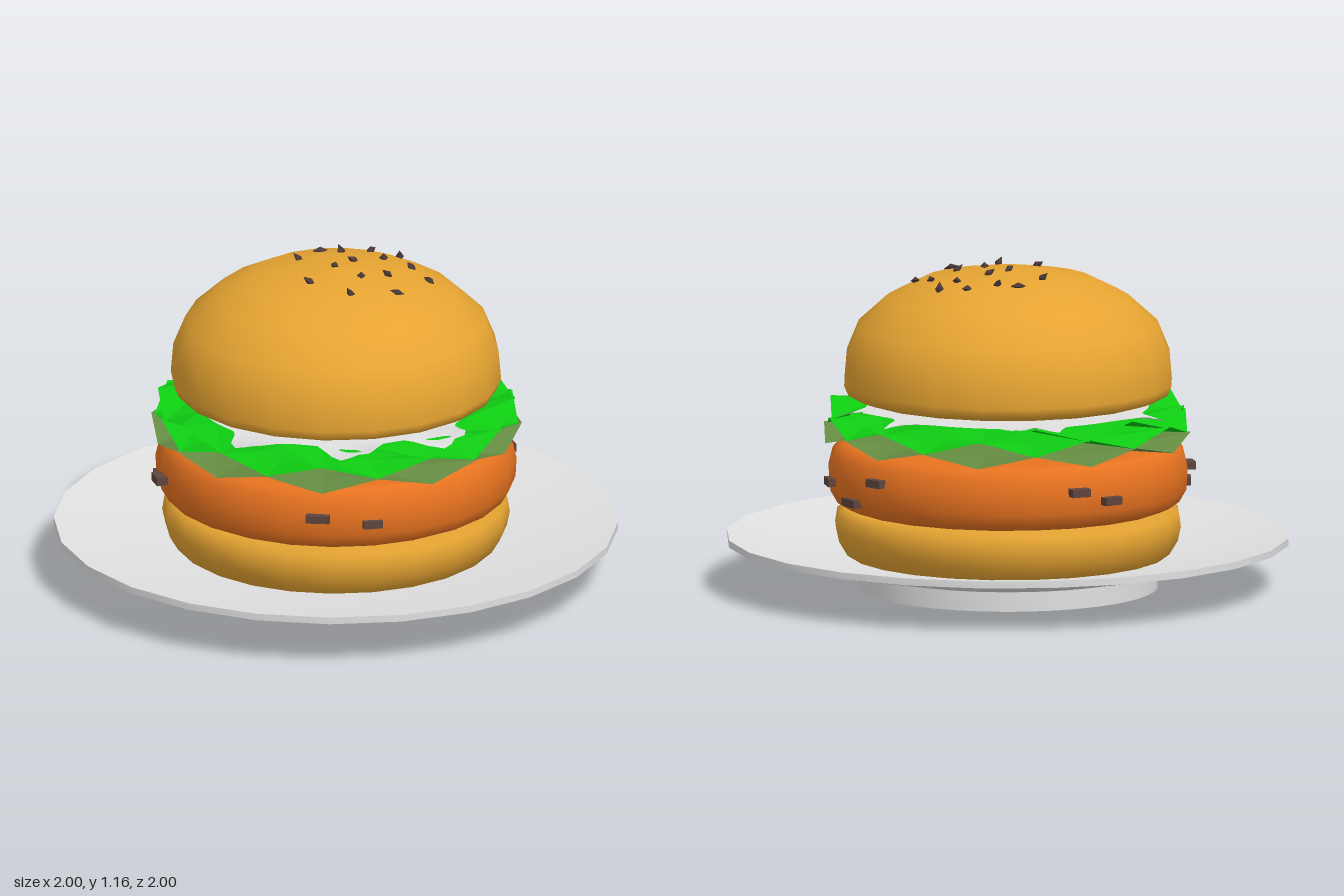
import * as THREE from 'three';
import { toCreasedNormals } from 'three/addons/utils/BufferGeometryUtils.js';

const mat = (name, color, side = THREE.FrontSide) =>
  new THREE.MeshStandardMaterial({ name, color, side });

// Closed turned shape from [radius, height] pairs, listed from the bottom up
function turned(name, points, sides, material, crease) {
  let geo = new THREE.LatheGeometry(points.map(([r, y]) => new THREE.Vector2(r, y)), sides);
  if (crease) geo = toCreasedNormals(geo, crease);
  const mesh = new THREE.Mesh(geo, material);
  mesh.name = name;
  return mesh;
}

// Thin disc made of rings; ring(i, angle) gives [radius, height]
function sheet(name, sides, rings, centreY, ring, material) {
  const pos = [0, centreY, 0], index = [];
  for (let i = 0; i < rings; i++) {
    for (let j = 0; j < sides; j++) {
      const a = (j / sides) * Math.PI * 2;
      const [r, y] = ring(i, a, j);
      pos.push(Math.cos(a) * r, y, Math.sin(a) * r);
    }
  }
  for (let j = 0; j < sides; j++) {
    const k = (j + 1) % sides;
    index.push(0, 1 + k, 1 + j);
    for (let i = 1; i < rings; i++) {
      const p = 1 + (i - 1) * sides, q = p + sides;
      index.push(p + j, p + k, q + j, p + k, q + k, q + j);
    }
  }
  let geo = new THREE.BufferGeometry();
  geo.setAttribute('position', new THREE.Float32BufferAttribute(pos, 3));
  geo.setIndex(index);
  geo = geo.toNonIndexed();
  geo.computeVertexNormals();
  const mesh = new THREE.Mesh(geo, material);
  mesh.name = name;
  return mesh;
}

// Triangle wave from -1 to 1, one zigzag per two leaf segments
const LEAF_SIDES = 20;
function zigzag(angle, shift) {
  const t = ((angle / (Math.PI * 2)) * LEAF_SIDES + shift) % 2;
  return 1 - 2 * Math.abs(t - 1);
}

export function createModel() {
  const model = new THREE.Group();
  model.name = 'burgerOnPlate';

  const china = mat('plate white', 0xe0e0e0);
  const bread = mat('bun gold', 0xe6a432);
  const meat = mat('patty orange', 0xe87320);
  const leaf = mat('lettuce green', 0x0fcc12, THREE.DoubleSide);
  const leafOlive = mat('lettuce olive', 0x658c42, THREE.DoubleSide);
  const sauceWhite = mat('sauce white', 0xe0e0e0, THREE.DoubleSide);
  const crumb = mat('crumb brown', 0x5e443c);
  const seedBrown = mat('seed brown', 0x4a3836);

  // Plate with a shallow dish and a hollow foot ring
  model.add(turned('plate',
    [[0, 0.07], [0.53, 0.07], [1, 0.165], [1, 0.19], [0.54, 0.115], [0, 0.115]], 24, china, 0.5));
  model.add(turned('plateFoot',
    [[0.522, 0.07], [0.522, 0], [0.53, 0], [0.53, 0.07]], 48, china, 0.5));

  // Bottom bun, patty and domed top bun
  model.add(turned('bottomBun', [[0, 0.085], [0.52, 0.09], [0.575, 0.125], [0.605, 0.175],
    [0.616, 0.225], [0.608, 0.275], [0.575, 0.298], [0, 0.3]], 24, bread));
  model.add(turned('patty', [[0, 0.295], [0.57, 0.297], [0.61, 0.315], [0.636, 0.36],
    [0.64, 0.43], [0.625, 0.49], [0.6, 0.52], [0.57, 0.53], [0, 0.53]], 24, meat));
  const dome = [[0, 0.68], [0.53, 0.685], [0.572, 0.7], [0.587, 0.735], [0.578, 0.84],
    [0.535, 0.945], [0.43, 1.04], [0.3, 1.105], [0.15, 1.132], [0, 1.14]];
  model.add(turned('topBun', dome, 20, bread));

  // Crumbs stuck in the side of the patty: [x, y, z]
  const crumbs = new THREE.Group();
  crumbs.name = 'pattyCrumbs';
  const spots = [[-0.21, 0.43, 0.6], [-0.02, 0.405, 0.63], [0.635, 0.4, -0.04], [0.59, 0.355, -0.23],
    [0.525, 0.445, -0.36], [-0.65, 0.415, 0.04], [-0.62, 0.38, -0.08], [-0.28, 0.4, -0.58],
    [-0.16, 0.44, -0.63]];
  spots.forEach(([x, y, z], i) => {
    const box = new THREE.Mesh(new THREE.BoxGeometry(i % 3 ? 0.07 : 0.085, 0.028, 0.045), crumb);
    box.name = 'crumb';
    box.position.set(x, y, z);
    box.rotation.y = Math.atan2(x, z);
    crumbs.add(box);
  });
  model.add(crumbs);

  // Three crumpled lettuce leaves, flat inside and wavy at the rim
  const leaves = [
    ['lowerLettuce', 0.553, 0.022, 0.655, 0, leafOlive],
    ['middleLettuce', 0.598, 0.026, 0.642, 1, leaf],
    ['upperLettuce', 0.643, 0.026, 0.632, 0, leaf],
  ];
  for (const [name, y, wave, radius, shift, material] of leaves) {
    model.add(sheet(name, LEAF_SIDES, 2, y, (i, a, j) => (i === 0
      ? [0.5, y]
      : [radius + 0.007 * Math.sin(j * 2.3), y + zigzag(a, shift) * wave]), material));
  }

  // Sauce spread over the top leaf, with ragged lobes at the rim: [x, z, lift]
  const lobes = [[-0.02, -0.6, 0], [0.47, -0.42, 0.015], [-0.47, -0.42, 0.02], [0.3, 0.53, 0],
    [-0.08, 0.62, 0], [-0.43, 0.42, 0.01], [0.6, -0.1, 0]];
  model.add(sheet('sauce', 120, 3, 0.652, (i, a, j) => {
    if (i === 0) return [0.48, 0.652];
    let lobe = 0, lift = 0;
    for (const [x, z, up] of lobes) {
      const d = a - Math.atan2(z, x);
      const near = Math.exp(-((Math.atan2(Math.sin(d), Math.cos(d)) / 0.17) ** 4));
      lobe = Math.max(lobe, near);
      lift += near * up;
    }
    const rim = 0.5 + lobe * (0.128 + 0.012 * Math.sin(j * 2.1) + 0.008 * Math.sin(j * 0.9));
    const r = i === 1 ? (0.5 + rim) / 2 : rim;
    const t = (r - 0.5) / 0.13;
    return [r, 0.652 + t * (zigzag(a, 0) * 0.026 + lift)];
  }, sauceWhite));

  // Seeds on the crown: [x, z]
  const seeds = new THREE.Group();
  seeds.name = 'seeds';
  const places = [[0, -0.24], [0.07, -0.21], [0.18, -0.22], [-0.1, -0.15], [0.2, -0.11],
    [0.08, -0.07], [0.28, -0.02], [0, -0.02], [-0.12, 0.1], [0.07, 0.09], [0.17, 0.08],
    [0.32, 0.08], [0, 0.22], [0.17, 0.22], [0.27, -0.16]];
  const seedGeo = new THREE.OctahedronGeometry(1, 0).scale(0.028, 0.014, 0.016);
  places.forEach(([x, z], i) => {
    const r = Math.hypot(x, z);
    const k = dome.findIndex(([dr], n) => n > 3 && dr <= r);
    const [r0, y0] = dome[k - 1], [r1, y1] = dome[k];
    const seed = new THREE.Mesh(seedGeo, seedBrown);
    seed.name = 'seed';
    seed.position.set(x, y0 + ((y1 - y0) * (r0 - r)) / (r0 - r1) + 0.004, z);
    seed.rotation.set(0.8 * Math.sin(i * 3.1), i * 1.9, 0.8 * Math.sin(i * 1.7));
    seeds.add(seed);
  });
  model.add(seeds);

  return model;
}
